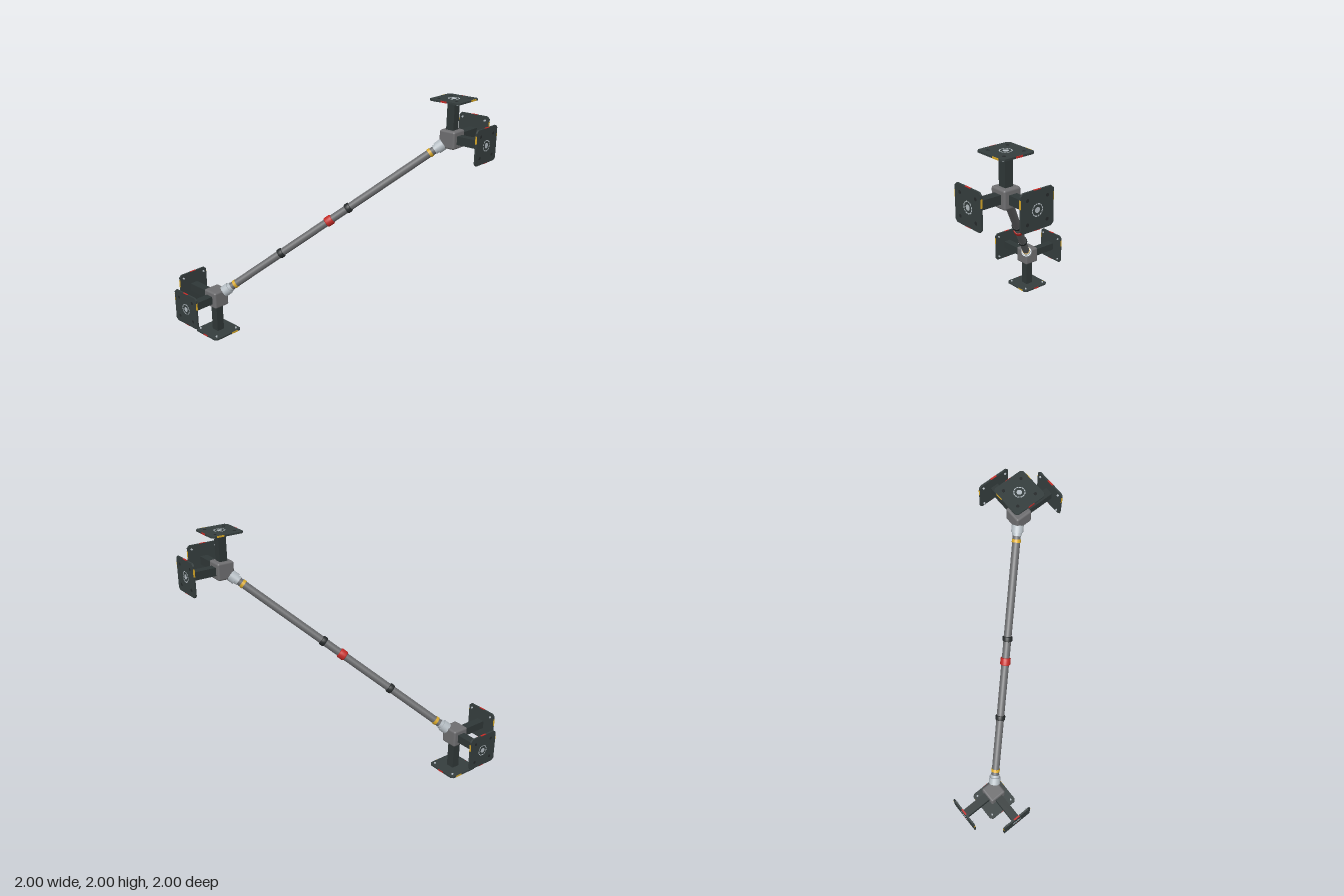
import * as THREE from 'three';
import { RoundedBoxGeometry } from 'three/addons/geometries/RoundedBoxGeometry.js';

const mat = (name, color) => {
  const m = new THREE.MeshStandardMaterial({ color });
  m.name = name;
  return m;
};

export function createModel() {
  const M = {
    plate: mat('dark slate', 0x353e3e),
    arm: mat('dark arm', 0x2f3737),
    black: mat('black rubber', 0x262a2b),
    hub: mat('hub grey', 0x6e6e70),
    tube: mat('tube grey', 0x6a6b6d),
    silver: mat('silver', 0xb4bcc2),
    yellow: mat('yellow', 0xd8a827),
    red: mat('red', 0xc42a26),
  };
  const add = (parent, name, geo, material, x = 0, y = 0, z = 0) => {
    const m = new THREE.Mesh(geo, material);
    m.name = name;
    m.position.set(x, y, z);
    parent.add(m);
    return m;
  };
  const disc = (r, h, n = 20) => new THREE.CylinderGeometry(r, r, h, n).rotateX(Math.PI / 2);

  const REACH = 0.32, THICK = 0.015, HALF = 0.14, CUT = 0.02;

  // square plate with clipped corners
  const outline = new THREE.Shape();
  const a = HALF, b = HALF - CUT;
  [[b, -a], [a, -b], [a, b], [b, a], [-b, a], [-a, b], [-a, -b], [-b, -a]]
    .forEach(([x, y], i) => (i ? outline.lineTo(x, y) : outline.moveTo(x, y)));
  const plateGeo = new THREE.ExtrudeGeometry(outline, { depth: THICK - 0.001, bevelEnabled: false });

  // one dash of the dial on the outer face
  const dashGeo = (start, length) => {
    const s = new THREE.Shape();
    s.absarc(0, 0, 0.046, start, start + length, false);
    s.absarc(0, 0, 0.038, start + length, start, true);
    return new THREE.ExtrudeGeometry(s, { depth: 0.001, bevelEnabled: false, curveSegments: 5 });
  };

  // arm and foot plate, pointing along local +z
  function makeFoot() {
    const foot = new THREE.Group();
    foot.name = 'foot';
    add(foot, 'arm', new THREE.BoxGeometry(0.068, 0.068, 0.26), M.arm, 0, 0, 0.18);
    add(foot, 'plate', plateGeo, M.plate, 0, 0, REACH - THICK);
    const face = REACH - 0.001;
    add(foot, 'dialCentre', disc(0.021, 0.002, 24), M.silver, 0, 0, face);
    const N = 12, step = (Math.PI * 2) / N;
    for (let i = 0; i < N; i++) add(foot, 'dialDash', dashGeo(i * step, step * 0.78), M.silver, 0, 0, face);
    for (const sx of [-1, 1]) {
      for (const sy of [-1, 1]) {
        add(foot, 'outerBolt', disc(0.013, 0.002, 16), M.black, sx * 0.084, sy * 0.084, face);
        add(foot, 'innerBolt', disc(0.008, 0.012, 10), M.silver, sx * 0.106, sy * 0.106, REACH - THICK - 0.005);
      }
      // coloured edge marks
      const z = REACH - THICK / 2;
      add(foot, 'redMark', new THREE.BoxGeometry(0.003, 0.056, THICK - 0.001), M.red, sx * HALF, 0, z);
      add(foot, 'yellowMark', new THREE.BoxGeometry(0.062, 0.003, THICK - 0.001), M.yellow, 0.066, sx * HALF, z);
    }
    return foot;
  }

  // hub block with three feet facing away from the strut
  function makeCorner(sign, name) {
    const corner = new THREE.Group();
    corner.name = name;
    add(corner, 'hub', new RoundedBoxGeometry(0.145, 0.145, 0.145, 3, 0.016), M.hub);
    for (const axis of ['x', 'y', 'z']) {
      const n = new THREE.Vector3();
      n[axis] = sign;
      const u = axis === 'y' ? new THREE.Vector3(1, 0, 0) : new THREE.Vector3(0, 1, 0);
      const v = n.clone().cross(u);
      const foot = makeFoot();
      foot.quaternion.setFromRotationMatrix(new THREE.Matrix4().makeBasis(u, v, n));
      corner.add(foot);
    }
    corner.position.set(0.68 * sign, 1 + 0.68 * sign, 0.68 * sign);
    return corner;
  }

  const model = new THREE.Group();
  model.name = 'cornerBrace';
  model.add(makeCorner(-1, 'lowerCorner'), makeCorner(1, 'upperCorner'));

  // diagonal strut, built along y and turned onto the space diagonal
  const strut = new THREE.Group();
  strut.name = 'strut';
  const L = 0.68 * Math.sqrt(3);
  const band = (name, r, from, to, material, n = 28) =>
    add(strut, name, new THREE.CylinderGeometry(r, r, to - from, n), material, 0, (from + to) / 2, 0);
  band('tube', 0.032, -L + 0.13, L - 0.13, M.tube);
  for (const s of [-1, 1]) {
    const ring = (name, r, t0, t1, material, n) =>
      band(name, r, Math.min(s * (L - t0), s * (L - t1)), Math.max(s * (L - t0), s * (L - t1)), material, n);
    ring('couplingNut', 0.048, 0.08, 0.138, M.silver, 20);
    ring('couplingNeck', 0.038, 0.138, 0.163, M.silver);
    ring('yellowBand', 0.036, 0.19, 0.215, M.yellow);
  }
  const collar = (name, at, len, r, material) => {
    const h = len / 2, c = 0.006;
    const pts = [[0.03, -h], [r - c, -h], [r, -h + c], [r, h - c], [r - c, h], [0.03, h]]
      .map(([x, y]) => new THREE.Vector2(x, y));
    add(strut, name, new THREE.LatheGeometry(pts, 28), material, 0, at, 0);
  };
  collar('lowerCollar', -0.5, 0.042, 0.041, M.black);
  collar('upperCollar', 0.18, 0.042, 0.041, M.black);
  collar('middleCollar', -0.01, 0.062, 0.042, M.red);
  strut.quaternion.setFromUnitVectors(new THREE.Vector3(0, 1, 0), new THREE.Vector3(1, 1, 1).normalize());
  strut.position.y = 1;
  model.add(strut);

  return model;
}
